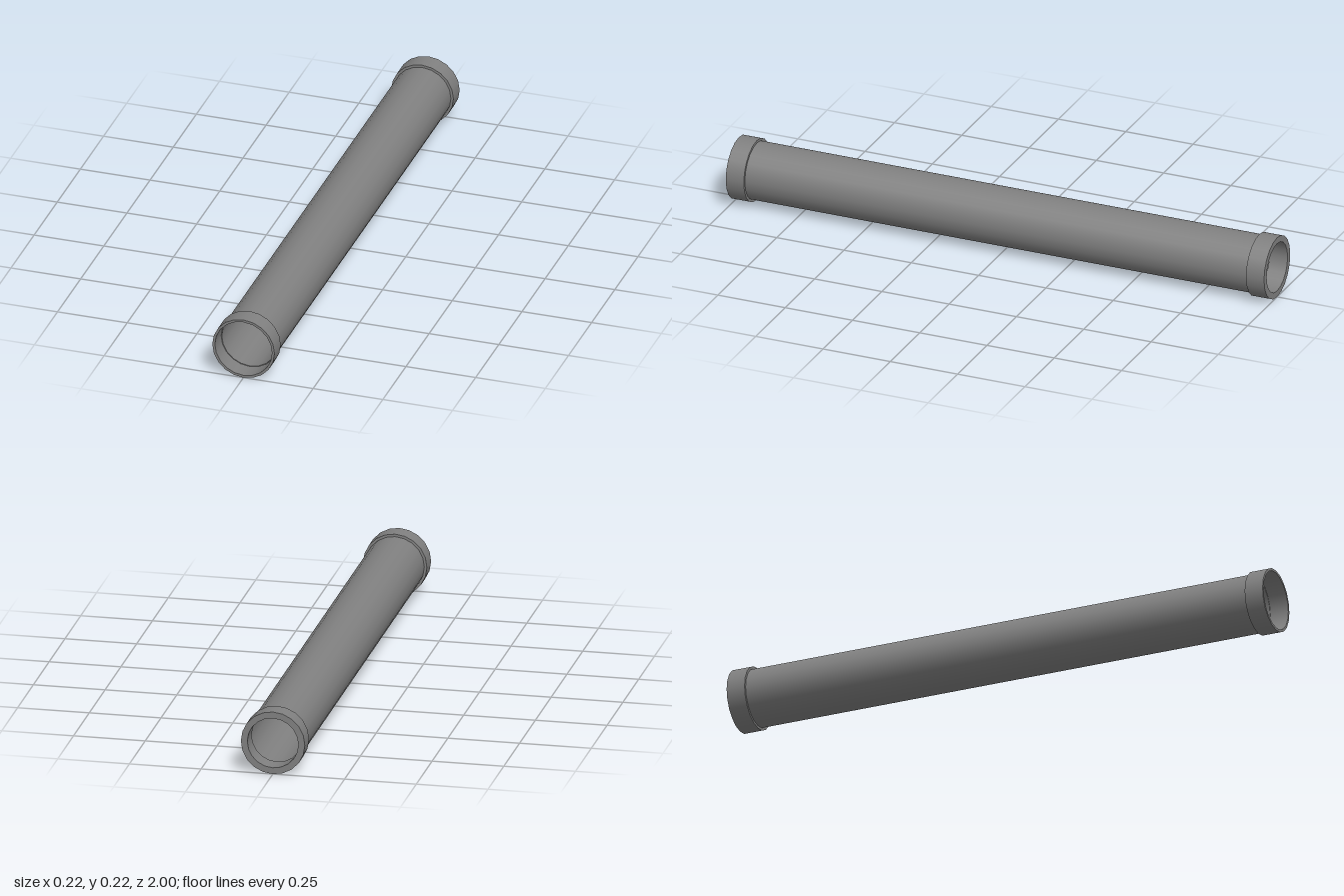
import * as THREE from 'three';
import { mergeGeometries } from 'three/addons/utils/BufferGeometryUtils.js';

const SIDES = 20;
const BORE = 0.089;      // opening of the back collar
const INNER = 0.1;       // inner radius of the tube
const PIPE = 0.1025;     // outer radius of the tube
const COLLAR = 0.1115;   // outer radius of the end collars
const END = 1;           // half length
const STEP = 0.933;      // where the collars begin

// Revolve a [radius, z] profile round the z axis; every profile corner stays sharp.
function turned(name, profile, material) {
  const bands = [];
  for (let i = 0; i < profile.length - 1; i++) {
    const pair = [profile[i], profile[i + 1]].map(([r, z]) => new THREE.Vector2(r, z));
    bands.push(new THREE.LatheGeometry(pair, SIDES));
  }
  const geometry = mergeGeometries(bands);
  geometry.rotateX(Math.PI / 2);
  const mesh = new THREE.Mesh(geometry, material);
  mesh.name = name;
  mesh.position.y = COLLAR;
  return mesh;
}

export function createModel() {
  const group = new THREE.Group();
  group.name = 'pipe';
  const material = new THREE.MeshStandardMaterial({ color: 0x808080 });

  // Thin-walled tube, its front end seated at the bottom of the socket
  group.add(turned('tube', [
    [PIPE, -STEP], [PIPE, STEP], [INNER, STEP], [INNER, -STEP],
  ], material));

  // Front socket, wide enough to take another tube
  group.add(turned('frontSocket', [
    [PIPE, STEP], [COLLAR, STEP], [COLLAR, END], [PIPE, END], [PIPE, STEP],
  ], material));

  // Thick back collar that narrows the opening
  group.add(turned('backCollar', [
    [BORE, -END], [COLLAR, -END], [COLLAR, -STEP], [BORE, -STEP], [BORE, -END],
  ], material));

  return group;
}
